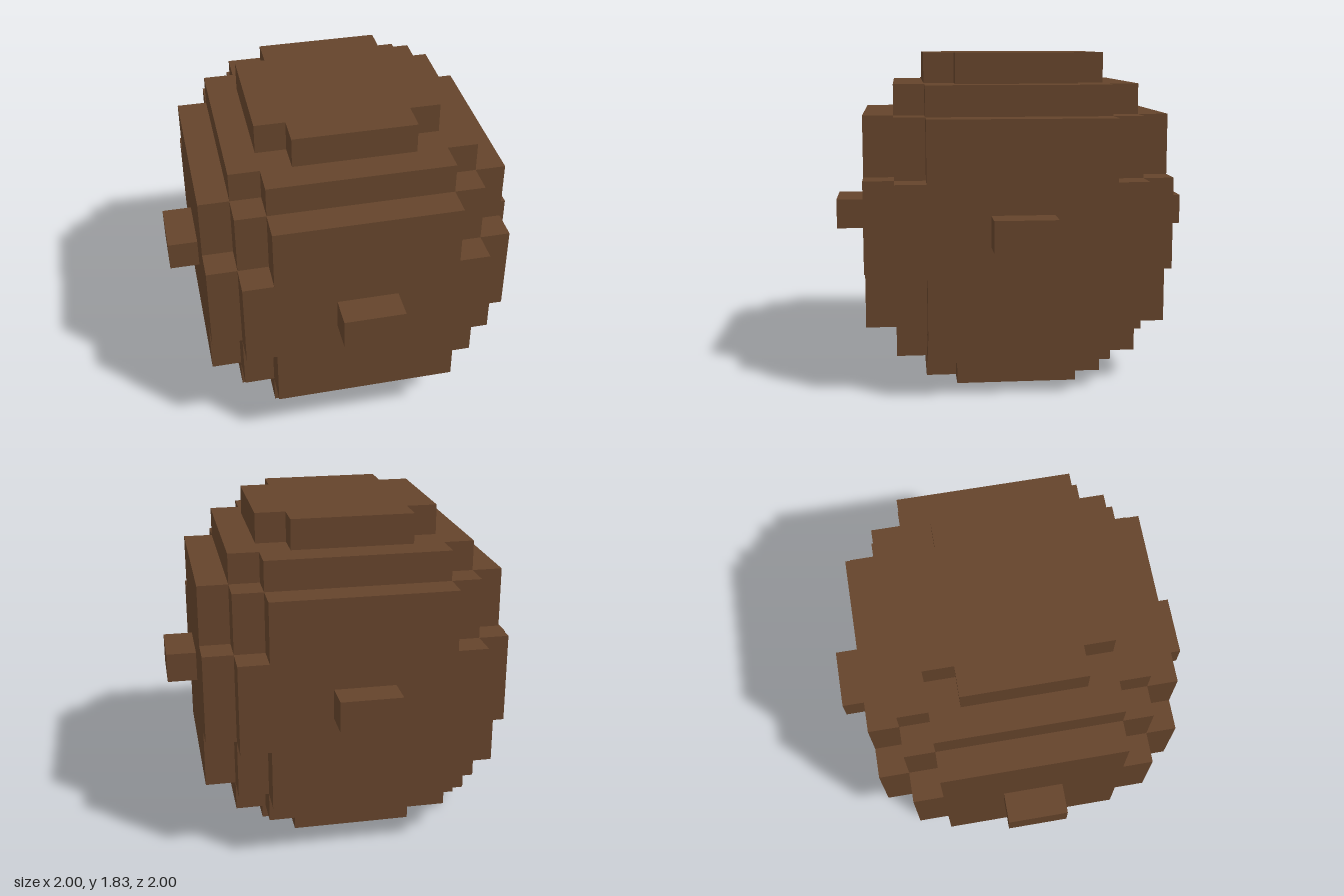
import * as THREE from 'three';

const U = 1 / 6; // one block

// Stepped corner of each kind of layer, in blocks; turned four times to make the outline
const CAP = [[3, 2], [2, 2], [2, 3]];
const SHOULDER = [[4, 3], [3, 3], [3, 4]];
const BAND = [[5, 3], [4, 3], [4, 4], [3, 4], [3, 5]];
const WAIST = [[5, 4], [4, 4], [4, 5]];

function layerGeometry(corner, bottom, top) {
  const points = [];
  let quarter = corner;
  for (let i = 0; i < 4; i++) {
    points.push(...quarter.map(([x, y]) => new THREE.Vector2(x * U, y * U)));
    quarter = quarter.map(([x, y]) => [-y, x]);
  }
  const geometry = new THREE.ExtrudeGeometry(new THREE.Shape(points), {
    depth: (top - bottom) * U,
    bevelEnabled: false,
  });
  return geometry.rotateX(-Math.PI / 2).translate(0, bottom * U, 0);
}

export function createModel() {
  const model = new THREE.Group();
  model.name = 'blockBall';
  const brown = new THREE.MeshStandardMaterial({ color: 0x65442b });
  brown.name = 'brown';

  const add = (name, geometry) => {
    const mesh = new THREE.Mesh(geometry, brown);
    mesh.name = name;
    model.add(mesh);
    return mesh;
  };

  // Stacked body layers, from the ground up
  [
    ['bottomCap', CAP, 0, 1],
    ['lowerShoulder', SHOULDER, 1, 2],
    ['lowerBand', BAND, 2, 4],
    ['waist', WAIST, 4, 7],
    ['upperBand', BAND, 7, 9],
    ['upperShoulder', SHOULDER, 9, 10],
    ['topCap', CAP, 10, 11],
  ].forEach(([name, corner, bottom, top]) => add(name, layerGeometry(corner, bottom, top)));

  // One small knob in the middle of each side
  ['frontKnob', 'leftKnob', 'backKnob', 'rightKnob'].forEach((name, i) => {
    const knob = new THREE.BoxGeometry(2 * U, U, U).translate(0, 5.5 * U, 5.5 * U);
    add(name, knob.rotateY((i * Math.PI) / 2));
  });

  return model;
}
